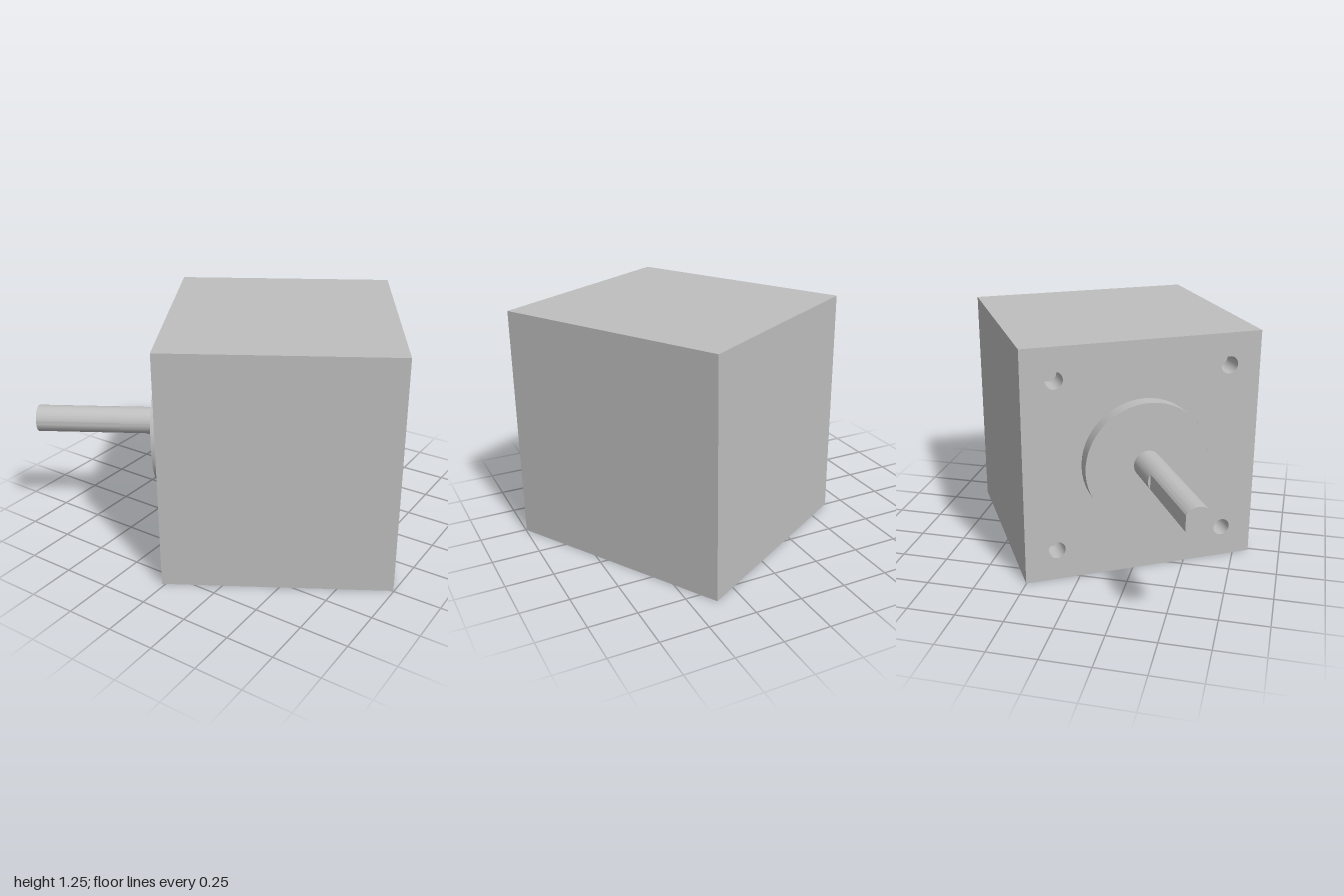
import * as THREE from 'three';
import { toCreasedNormals } from 'three/addons/utils/BufferGeometryUtils.js';

const SIZE = 1.25, DEPTH = 1.17;              // square body and its length
const BOSS_R = 0.324, BOSS_H = 0.075;         // raised pilot ring
const SHAFT_R = 0.072, SHAFT_END = 0.738, FLAT_START = 0.283, FLAT_X = 0.06;
const HOLE_R = 0.045, HOLE_POS = 0.457, HOLE_DEPTH = 0.13;

export function createModel() {
  const steel = new THREE.MeshStandardMaterial({ color: 0xbfbfbf, side: THREE.DoubleSide });
  const model = new THREE.Group();
  model.name = 'stepperMotor';

  // Local frame: the mounting face lies at z = 0 and the shaft points to +z
  const motor = new THREE.Group();
  motor.name = 'motor';
  motor.rotation.y = -Math.PI / 3;
  motor.position.set(-0.329, SIZE / 2, 0.29);
  model.add(motor);

  const add = (name, geometry, x = 0, y = 0, z = 0) => {
    const mesh = new THREE.Mesh(geometry, steel);
    mesh.name = name;
    mesh.position.set(x, y, z);
    motor.add(mesh);
    return mesh;
  };
  const tube = (r, h) => new THREE.CylinderGeometry(r, r, h, 48, 1, true).rotateX(Math.PI / 2);

  // Mounting face with four screw holes and the opening under the boss
  const h = SIZE / 2;
  const face = new THREE.Shape([[-h, -h], [h, -h], [h, h], [-h, h]].map(p => new THREE.Vector2(...p)));
  const cut = (x, y, r) => face.holes.push(new THREE.Path().absarc(x, y, r, 0, Math.PI * 2, true));
  cut(0, 0, BOSS_R);
  for (const sx of [-1, 1]) for (const sy of [-1, 1]) {
    const x = sx * HOLE_POS, y = sy * HOLE_POS;
    cut(x, y, HOLE_R);
    add('screwHoleWall', tube(HOLE_R, HOLE_DEPTH), x, y, -HOLE_DEPTH / 2);
    add('screwHoleBottom', new THREE.CircleGeometry(HOLE_R, 48), x, y, -HOLE_DEPTH);
  }
  add('mountingFace', new THREE.ShapeGeometry(face, 24));

  // Four body sides and the back
  for (let i = 0; i < 4; i++) {
    const side = new THREE.PlaneGeometry(SIZE, DEPTH).rotateX(-Math.PI / 2);
    side.translate(0, h, -DEPTH / 2).rotateZ(i * Math.PI / 2);
    add('bodySide', side);
  }
  add('bodyBack', new THREE.PlaneGeometry(SIZE, SIZE).rotateY(Math.PI), 0, 0, -DEPTH);

  // Boss around the shaft
  add('bossRim', tube(BOSS_R, BOSS_H), 0, 0, BOSS_H / 2);
  add('bossFace', new THREE.RingGeometry(SHAFT_R, BOSS_R, 64), 0, 0, BOSS_H);

  // Shaft: round near the boss, with a flat on its -x side towards the tip
  const shaftPart = (name, startAngle, z0, z1) => {
    const section = new THREE.Shape();
    section.absarc(0, 0, SHAFT_R, -Math.PI + startAngle, Math.PI - startAngle, false);
    section.closePath();
    const g = new THREE.ExtrudeGeometry(section, { depth: z1 - z0, bevelEnabled: false, curveSegments: 40 });
    add(name, toCreasedNormals(g, 0.4), 0, 0, z0);
  };
  shaftPart('shaftRound', 0, BOSS_H, FLAT_START);
  shaftPart('shaftFlatted', Math.acos(FLAT_X / SHAFT_R), FLAT_START, SHAFT_END);

  return model;
}
